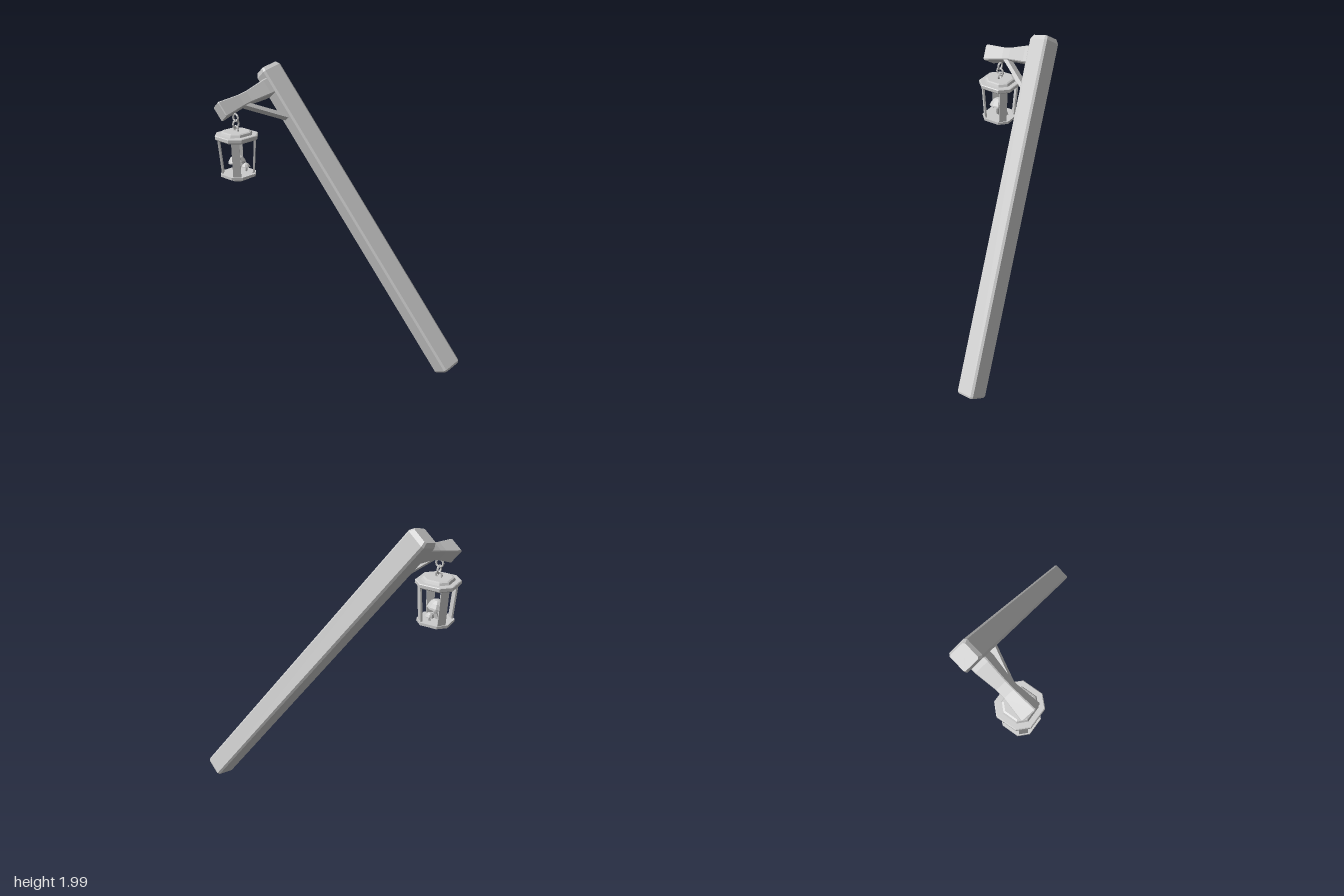
import * as THREE from 'three';

const material = new THREE.MeshStandardMaterial({ color: 0xcccccc, flatShading: true });

function mesh(name, geometry, parent) {
  const m = new THREE.Mesh(geometry, material);
  m.name = name;
  parent.add(m);
  return m;
}

// Unit square with cut corners, as [x, z] pairs; c is the cut as a share of the side
function cutSquare(c) {
  const pts = [];
  for (let i = 0; i < 4; i++) {
    const a = i * Math.PI / 2, cos = Math.cos(a), sin = Math.sin(a);
    for (const z of [-0.5 + c, 0.5 - c]) pts.push([0.5 * cos - z * sin, 0.5 * sin + z * cos]);
  }
  return pts;
}

// Closed faceted solid from a cut square scaled along y; rings are [y, width]
function loft(cut, rings) {
  const section = cutSquare(cut), n = section.length, pos = [];
  const at = ([y, w], k) => [section[k % n][0] * w, y, section[k % n][1] * w];
  const first = rings[0], last = rings[rings.length - 1];
  for (let k = 0; k < n; k++) {
    for (let i = 0; i < rings.length - 1; i++) {
      const a = at(rings[i], k), b = at(rings[i + 1], k);
      const c = at(rings[i + 1], k + 1), d = at(rings[i], k + 1);
      pos.push(...a, ...b, ...c, ...a, ...c, ...d);
    }
    pos.push(0, first[0], 0, ...at(first, k), ...at(first, k + 1));
    pos.push(0, last[0], 0, ...at(last, k + 1), ...at(last, k));
  }
  const g = new THREE.BufferGeometry();
  g.setAttribute('position', new THREE.Float32BufferAttribute(pos, 3));
  g.computeVertexNormals();
  return g;
}

// Curved stem with a domed cap
function mushroom(name, parent, [x, y, z], height, radius, lean) {
  const g = new THREE.Group();
  g.name = name;
  g.position.set(x, y, z);
  parent.add(g);
  const path = new THREE.CatmullRomCurve3([
    new THREE.Vector3(-lean, 0, 0),
    new THREE.Vector3(lean * 0.4, height * 0.4, 0),
    new THREE.Vector3(0, height * 0.85, 0),
  ]);
  mesh('stem', new THREE.TubeGeometry(path, 5, radius * 0.24, 6), g);
  const profile = [[0, 0.3], [0.6, 0.12], [1, 0], [0.95, 0.2], [0.7, 0.62], [0.35, 0.88], [0, 0.95]]
    .map(([r, h]) => new THREE.Vector2(r * radius, h * radius));
  const cap = mesh('cap', new THREE.LatheGeometry(profile, 9), g);
  cap.position.y = height * 0.7;
  cap.rotation.z = 0.12;
}

export function createModel() {
  const model = new THREE.Group();
  model.name = 'leaningLanternPost';

  // Leaning post with its arm and brace, upright in its own frame
  const frame = new THREE.Group();
  frame.name = 'postFrame';
  frame.position.set(0, 1, -0.19);
  frame.rotation.set(0.27, 0, 0.579);
  model.add(frame);
  mesh('post', loft(0.09, [[-1.178, 0.128], [-1.165, 0.14], [1.15, 0.14], [1.178, 0.115]]), frame);

  const armY = 1.055;
  const arm = mesh('arm', loft(0.06, [
    [0, 0.11], [0.1, 0.108], [0.24, 0.08], [0.3, 0.08], [0.45, 0.107], [0.457, 0.1],
  ]), frame);
  arm.position.y = armY;
  arm.rotation.x = Math.PI / 2;

  const from = new THREE.Vector3(0, armY - 0.235, 0.055), to = new THREE.Vector3(0, armY - 0.025, 0.29);
  const brace = mesh('brace', new THREE.BoxGeometry(0.06, 0.026, from.distanceTo(to)), frame);
  brace.position.copy(from).lerp(to, 0.5);
  brace.rotation.x = -Math.atan2(to.y - from.y, to.z - from.z);

  // Hanging lantern
  const lantern = new THREE.Group();
  lantern.name = 'lantern';
  lantern.position.set(-0.565, 0, 0.38);
  lantern.rotation.y = 0.15;
  model.add(lantern);
  mesh('foot', loft(0.24, [[1.265, 0.125], [1.29, 0.14]]), lantern);
  mesh('base', loft(0.24, [[1.288, 0.212], [1.306, 0.212]]), lantern);
  mesh('rim', loft(0.24, [[1.537, 0.235], [1.546, 0.254], [1.566, 0.254], [1.57, 0.245]]), lantern);
  mesh('lid', loft(0.24, [[1.568, 0.19], [1.585, 0.175], [1.59, 0.155]]), lantern);

  // Flat slats on the four short sides, leaning outward
  for (let i = 0; i < 4; i++) {
    const side = new THREE.Group();
    side.name = 'slatSide';
    side.rotation.y = Math.PI / 4 + i * Math.PI / 2;
    lantern.add(side);
    const slat = mesh('slat', new THREE.BoxGeometry(0.052, 0.25, 0.012), side);
    slat.position.set(0, 1.422, 0.11);
    slat.rotation.x = 0.075;
  }

  // Chain between lid and arm
  for (const [y, r, turn] of [[1.602, 0.02, 0], [1.636, 0.025, Math.PI / 2], [1.678, 0.024, 0]]) {
    const link = mesh('chainLink', new THREE.TorusGeometry(r, 0.007, 5, 10), lantern);
    link.position.y = y;
    link.rotation.y = turn;
  }

  // Mushrooms inside
  mushroom('largeMushroom', lantern, [0.005, 1.3, 0.01], 0.11, 0.06, 0.014);
  mushroom('smallMushroom', lantern, [0.02, 1.3, -0.05], 0.05, 0.03, 0.005);

  return model;
}
